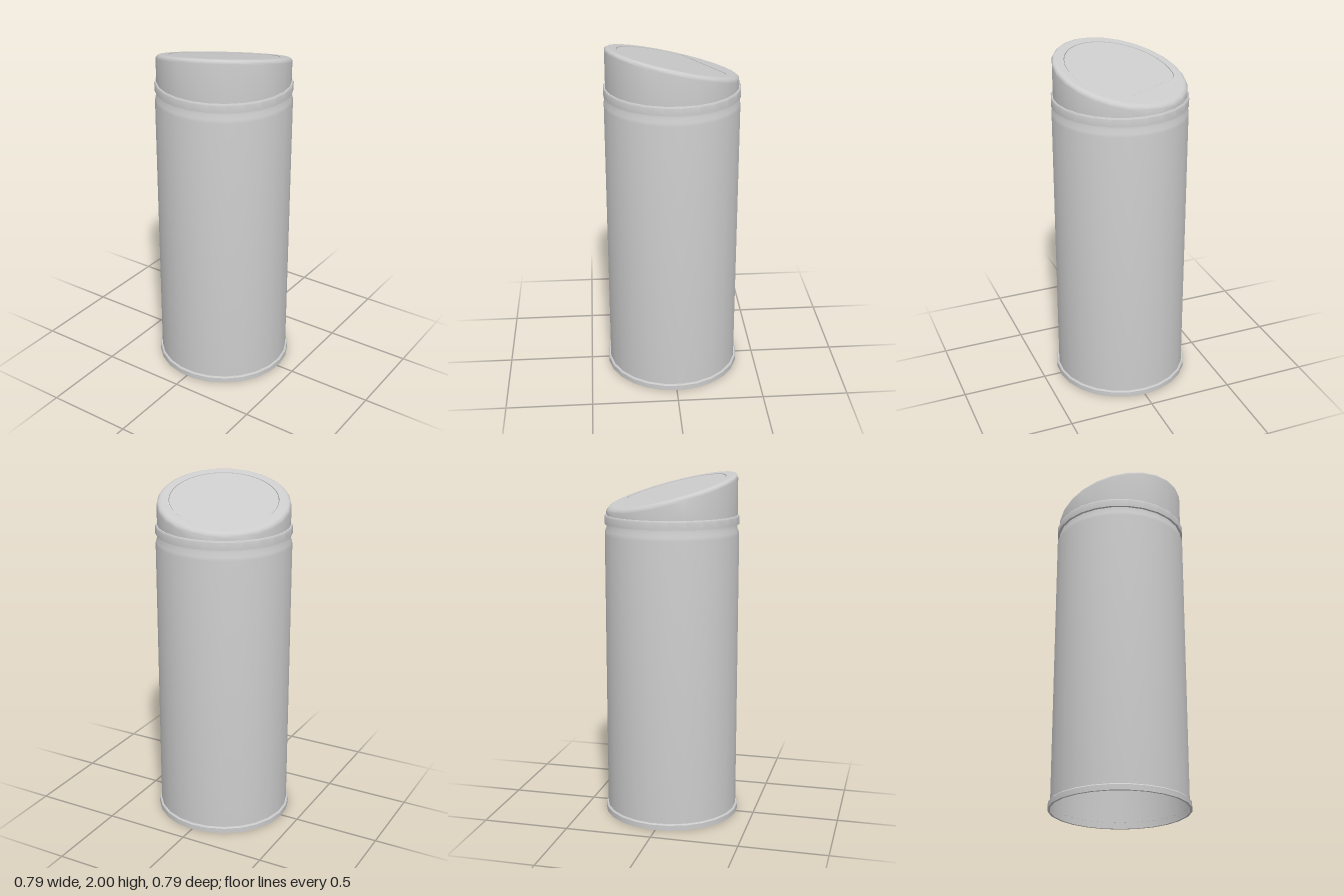
import * as THREE from 'three';
import { toCreasedNormals } from 'three/addons/utils/BufferGeometryUtils.js';

const SIDES = 25;
const TURN = 0.513;          // heading of the high side of the lid
const SLOPE = 0.27;          // rise of the lid per unit along that heading
const LID_Y = 1.905;         // height of the lid at its centre
const material = new THREE.MeshStandardMaterial({ color: 0xcccccc, side: THREE.DoubleSide });

function addMesh(parent, name, geometry) {
  const mesh = new THREE.Mesh(toCreasedNormals(geometry, 0.5), material);
  mesh.name = name;
  parent.add(mesh);
}

function lathe(profile, phiStart = Math.PI) {
  return new THREE.LatheGeometry(profile.map(([r, y]) => new THREE.Vector2(r, y)), SIDES, phiStart);
}

// Tilt everything above minY along local z
function slant(geometry, minY) {
  const p = geometry.attributes.position;
  for (let i = 0; i < p.count; i++) {
    if (p.getY(i) > minY) p.setY(i, p.getY(i) + SLOPE * p.getZ(i));
  }
  return geometry;
}

// Upright prism from a plan outline, between two heights
function prism(shape, bottom, top) {
  const g = new THREE.ExtrudeGeometry(shape, { depth: top - bottom, bevelEnabled: false, curveSegments: 24 });
  return g.rotateX(-Math.PI / 2).translate(0, bottom, 0);
}

// Circle with one side cut straight
function flapOutline(path, grow) {
  const r = 0.304 + grow, cut = 0.212 + grow, a = 0.64;
  const cx = r * Math.cos(a), cy = r * Math.sin(a);
  path.moveTo(cx, cy);
  path.quadraticCurveTo(cx * 0.92, cut, 0.18, cut);
  path.lineTo(-0.18, cut);
  path.quadraticCurveTo(-cx * 0.92, cut, -cx, cy);
  path.absarc(0, 0, r, Math.PI - a, 2 * Math.PI + a, false);
  return path;
}

export function createModel() {
  const model = new THREE.Group();
  model.name = 'wasteBin';

  // Open-ended body, foot ring and collar
  addMesh(model, 'body', lathe([[0.385, 0.01], [0.385, 1.655], [0.382, 1.675], [0.374, 1.695], [0.372, 1.72]]));
  addMesh(model, 'footRing', lathe([[0.384, 0], [0.397, 0], [0.397, 0.03], [0.392, 0.036], [0.384, 0.036]]));
  addMesh(model, 'collar', lathe([[0.37, 1.715], [0.386, 1.715], [0.386, 1.757], [0.382, 1.765], [0.372, 1.765]]));

  // Slanted lid, built facing local +z and then turned
  const lid = new THREE.Group();
  lid.name = 'lid';
  lid.rotation.y = TURN;
  model.add(lid);

  const phase = Math.PI - TURN;
  const round = 0.026, inner = 0.375 - round;
  const wall = [[0.375, 1.755]];
  for (let i = 0; i <= 5; i++) {
    const a = (i / 5) * Math.PI / 2;
    wall.push([inner + round * Math.cos(a), LID_Y - round + round * Math.sin(a)]);
  }
  addMesh(lid, 'lidRim', slant(lathe(wall, phase), 1.8));

  // Top plate with the flap opening
  const plate = new THREE.Shape();
  plate.setFromPoints(Array.from({ length: SIDES }, (_, i) => {
    const a = phase + (i / SIDES) * 2 * Math.PI;
    return new THREE.Vector2(inner * Math.sin(a), -inner * Math.cos(a));
  }));
  plate.holes.push(flapOutline(new THREE.Path(), 0.003));
  addMesh(lid, 'lidTop', slant(prism(plate, LID_Y - 0.02, LID_Y), 1.8));

  // Flap continuing down as the inner liner
  addMesh(lid, 'flapAndLiner', slant(prism(flapOutline(new THREE.Shape(), 0), 0.21, LID_Y - 0.002), 1.8));

  return model;
}
